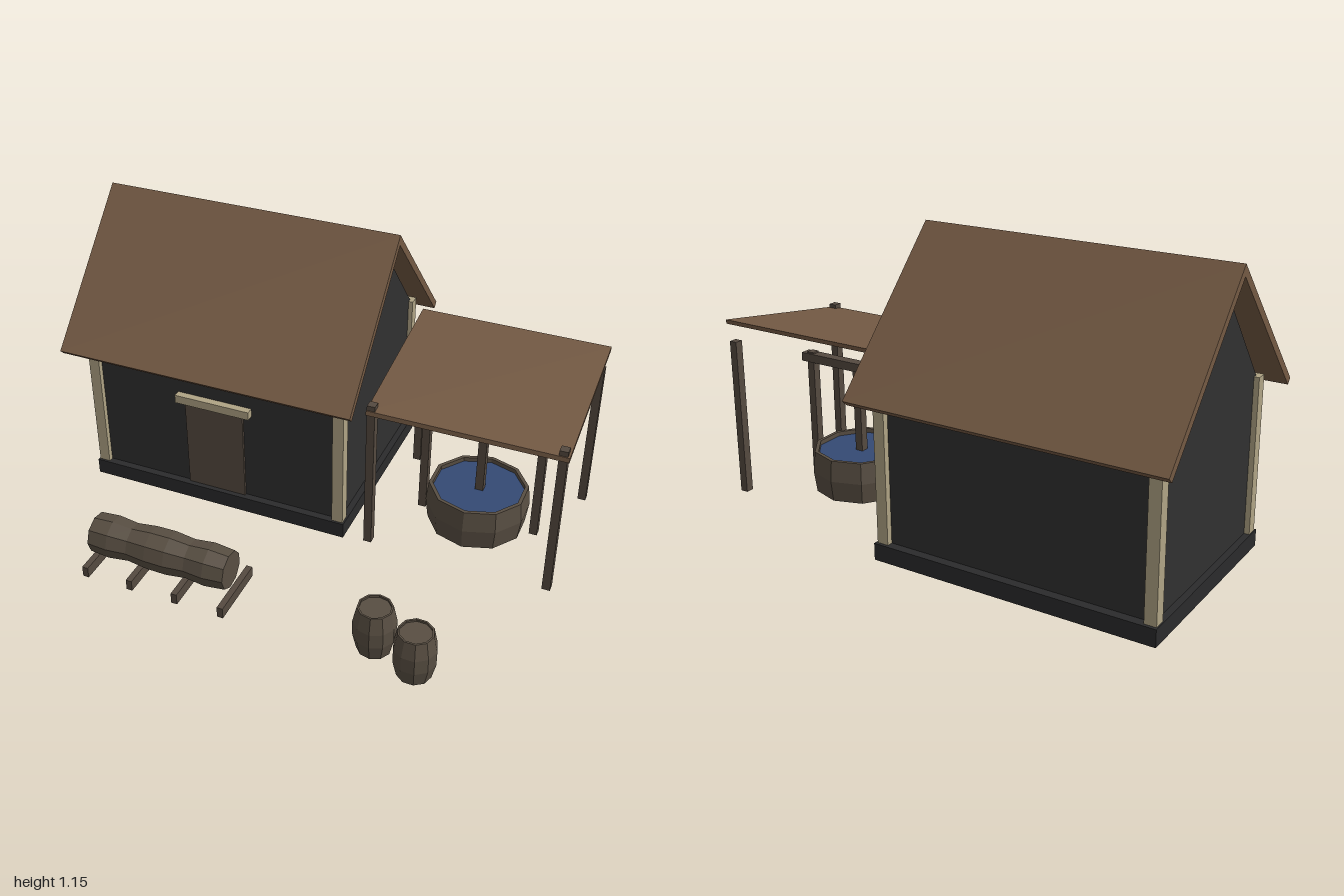
import * as THREE from 'three';

const mat = (name, color) => {
  const m = new THREE.MeshStandardMaterial({ color, flatShading: true });
  m.name = name;
  return m;
};

export function createModel() {
  const wall = mat('charcoal wall', 0x303030);
  const stone = mat('dark foundation', 0x2b2b2c);
  const cream = mat('cream timber', 0xb0a485);
  const roofWood = mat('roof wood', 0x735943);
  const wood = mat('grey brown wood', 0x554a40);
  const barrelWood = mat('barrel wood', 0x584e42);
  const water = mat('water', 0x344a74);

  const model = new THREE.Group();
  model.name = 'waterHouse';

  const group = (name) => {
    const g = new THREE.Group();
    g.name = name;
    model.add(g);
    return g;
  };
  const add = (parent, name, geometry, material) => {
    const m = new THREE.Mesh(geometry, material);
    m.name = name;
    parent.add(m);
    return m;
  };
  // Box given by its extents on each axis
  const box = (parent, name, material, [x0, x1], [y0, y1], [z0, z1]) => {
    const m = add(parent, name, new THREE.BoxGeometry(x1 - x0, y1 - y0, z1 - z0), material);
    m.position.set((x0 + x1) / 2, (y0 + y1) / 2, (z0 + z1) / 2);
    return m;
  };
  // Side profile of [z, y] points, extruded from x0 to x1
  const prism = (parent, name, material, points, x0, x1) => {
    const shape = new THREE.Shape(points.map(([z, y]) => new THREE.Vector2(z, y)));
    const geo = new THREE.ExtrudeGeometry(shape, { depth: x1 - x0, bevelEnabled: false });
    geo.rotateY(-Math.PI / 2);
    const m = add(parent, name, geo, material);
    m.position.x = x1;
    return m;
  };
  // Faceted turned shape from [radius, y] points
  const turned = (parent, name, material, points, sides) =>
    add(parent, name, new THREE.LatheGeometry(points.map(([r, y]) => new THREE.Vector2(r, y)), sides), material);

  // House
  const house = group('house');
  box(house, 'foundation', stone, [-0.945, 0.165], [0, 0.065], [-0.705, 0.12]);
  prism(house, 'gabledWalls', wall,
    [[0.09, 0.06], [0.09, 0.66], [-0.275, 1.108], [-0.67, 0.66], [-0.67, 0.06]], -0.92, 0.14);
  for (const x of [-0.94, 0.113])
    for (const z of [-0.693, 0.066])
      box(house, 'cornerPost', cream, [x, x + 0.045], [0.06, 0.665], [z, z + 0.045]);
  prism(house, 'roof', roofWood,
    [[-0.275, 1.15], [0.21, 0.634], [0.19, 0.614], [-0.275, 1.108], [-0.757, 0.595], [-0.778, 0.615]], -1, 0.22);
  box(house, 'door', wood, [-0.52, -0.27], [0.065, 0.455], [0.08, 0.1]);
  box(house, 'doorLintel', cream, [-0.552, -0.234], [0.453, 0.488], [0.08, 0.12]);

  // Lean-to shelter
  const shelter = group('shelter');
  prism(shelter, 'shelterRoof', roofWood,
    [[0.107, 0.616], [0.11, 0.598], [-0.522, 0.7], [-0.525, 0.717]], 0.243, 1);
  for (const x of [0.245, 0.96]) {
    box(shelter, 'frontPost', wood, [x, x + 0.032], [0, 0.637], [0.07, 0.104]);
    box(shelter, 'backPost', wood, [x, x + 0.032], [0, 0.63], [-0.52, -0.488]);
  }

  // Well under the shelter
  const well = group('well');
  const tub = turned(well, 'wellTub', barrelWood,
    [[0, 0], [0.195, 0], [0.206, 0.085], [0.197, 0.17], [0.182, 0.17], [0.182, 0.145]], 10);
  tub.position.set(0.612, 0, -0.205);
  const surface = add(well, 'waterSurface', new THREE.CircleGeometry(0.183, 10), water);
  surface.rotation.set(-Math.PI / 2, 0, Math.PI / 10);
  surface.position.set(0.612, 0.152, -0.205);
  for (const x of [0.37, 0.833])
    box(well, 'framePost', wood, [x, x + 0.032], [0, 0.528], [-0.225, -0.192]);
  box(well, 'frameBeam', wood, [0.345, 0.89], [0.487, 0.522], [-0.23, -0.187]);
  box(well, 'drawPole', wood, [0.6, 0.633], [0.1, 0.49], [-0.225, -0.192]);

  // Two barrels with recessed lids
  const barrels = group('barrels');
  for (const [x, z, turn] of [[0.49, 0.63, 0.1], [0.66, 0.69, 0.3]]) {
    const b = turned(barrels, 'barrel', barrelWood,
      [[0, 0], [0.064, 0], [0.079, 0.065], [0.079, 0.125], [0.065, 0.19], [0.058, 0.19], [0.058, 0.182], [0, 0.182]], 10);
    b.position.set(x, 0, z);
    b.rotation.y = turn;
  }

  // Knobbly log resting on four bearers
  const logs = group('logRack');
  const profile = [[0, -0.282]];
  const radii = [0.075, 0.083, 0.075, 0.084, 0.083, 0.074, 0.083, 0.077];
  radii.forEach((r, i) => profile.push([r, -0.282 + (i * 0.564) / (radii.length - 1)]));
  profile.push([0, 0.282]);
  const log = turned(logs, 'log', barrelWood, profile, 9);
  log.rotation.z = Math.PI / 2;
  log.position.set(-0.372, 0.123, 0.588);
  for (let i = 0; i < 4; i++) {
    const x = -0.657 + i * 0.189;
    box(logs, 'bearer', wood, [x, x + 0.024], [0, 0.044], [0.462, 0.712]);
  }

  return model;
}
